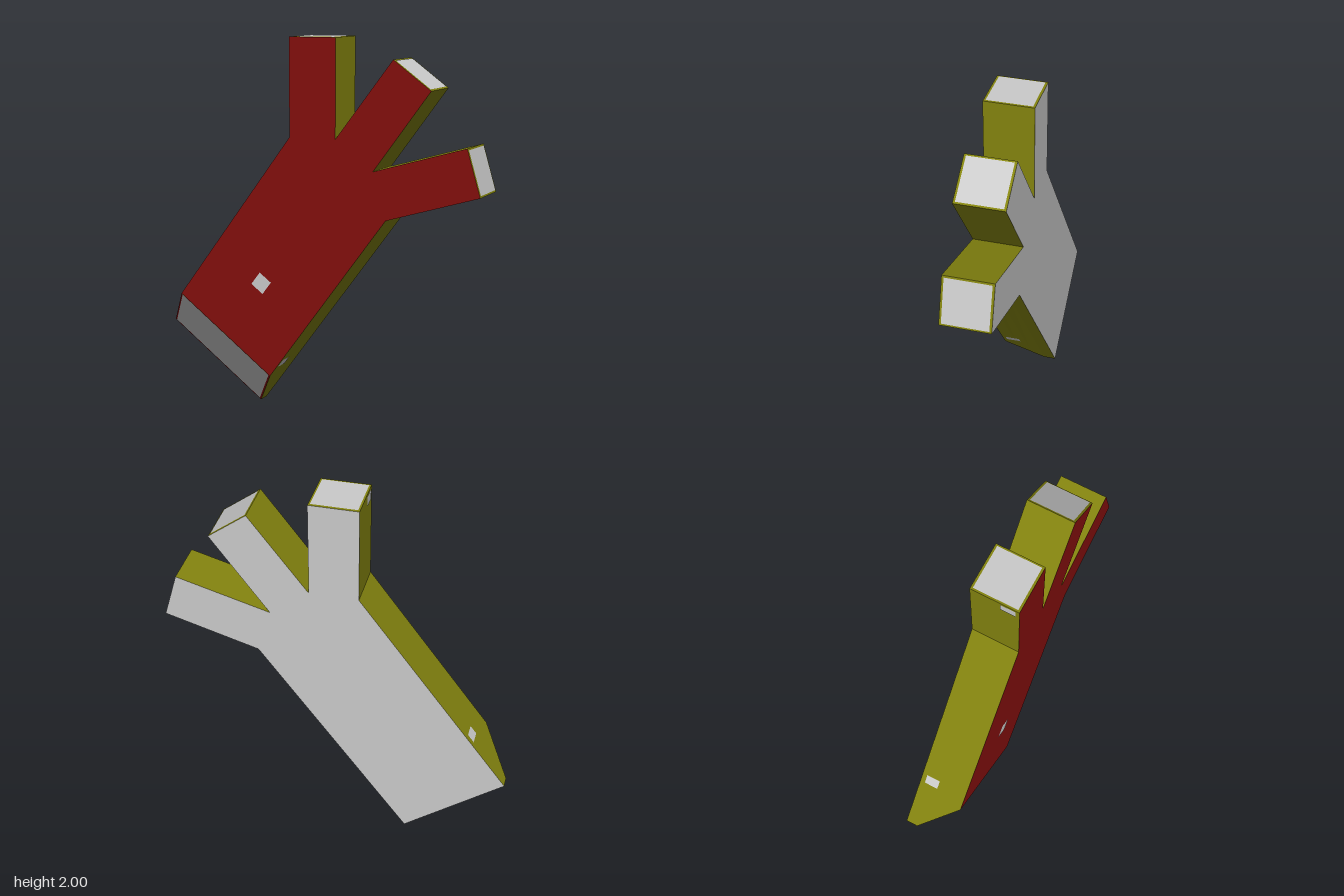
import * as THREE from 'three';

const GREY = 0xcccccc, RED = 0x850f0d, OLIVE = 0x84840f;
const HALF = 0.13;          // half thickness of the slab
const CHAMFER_Z = -0.065;   // depth at which the base chamfer starts
const CHAMFER = new THREE.Vector3(0.15, 0.2, HALF - CHAMFER_Z);

// Outline, counter-clockwise: base, then the three prongs
const OUTLINE = [
  [-0.918, 0.405], [-0.385, 0],
  [0.42, 1.083], [0.918, 1.228], [0.847, 1.47], [0.35, 1.33],
  [0.657, 1.745], [0.455, 1.895], [0.143, 1.485],
  [0.143, 2], [-0.115, 2], [-0.115, 1.485],
].map(([x, y]) => new THREE.Vector2(x, y));

const paint = (color) => new THREE.MeshStandardMaterial({ color, flatShading: true });

// Flat rectangle, u along its width and n outward, lifted slightly off the surface
function patch(name, color, centre, u, n, width, height, lift = 0.002) {
  const v = new THREE.Vector3().crossVectors(n, u);
  const mesh = new THREE.Mesh(new THREE.PlaneGeometry(width, height), paint(color));
  mesh.name = name;
  mesh.geometry.applyMatrix4(new THREE.Matrix4().makeBasis(u, v, n)
    .setPosition(centre.clone().addScaledVector(n, lift)));
  return mesh;
}

// Rectangle on the side wall that starts at outline point i; t is the place along it
function wallPatch(name, i, t, z, width, height) {
  const a = OUTLINE[i], b = OUTLINE[(i + 1) % OUTLINE.length];
  const u = new THREE.Vector3(b.x - a.x, b.y - a.y, 0);
  const centre = new THREE.Vector3(a.x, a.y, z).addScaledVector(u, t);
  const length = u.length();
  u.normalize();
  return patch(name, GREY, centre, u, new THREE.Vector3(u.y, -u.x, 0), width ?? length - 0.02, height);
}

function createBody() {
  const geo = new THREE.ExtrudeGeometry(new THREE.Shape(OUTLINE),
    { depth: 2 * HALF, steps: 4, bevelEnabled: false });
  geo.translate(0, 0, -HALF);

  // Slide the base edge up the slab towards the front to form the chamfer
  const p = geo.attributes.position;
  for (let i = 0; i < p.count; i++) {
    const x = p.getX(i), y = p.getY(i);
    const k = Math.max(0, (p.getZ(i) - CHAMFER_Z) / CHAMFER.z);
    if (y < 0.5) p.setXY(i, x + k * CHAMFER.x, y + k * CHAMFER.y);
  }
  geo.computeVertexNormals();

  // Back lid, front lid and walls each get their own colour
  const lid = geo.groups[0].count / 2;
  geo.clearGroups();
  geo.addGroup(0, lid, 0);
  geo.addGroup(lid, lid, 1);
  geo.addGroup(2 * lid, p.count - 2 * lid, 2);
  const body = new THREE.Mesh(geo, [paint(GREY), paint(RED), paint(OLIVE)]);
  body.name = 'body';
  return body;
}

export function createModel() {
  const model = new THREE.Group();
  model.name = 'prongedSlab';
  model.add(createBody());

  // Sloping chamfer face: red border with a grey panel
  const a = new THREE.Vector3(OUTLINE[0].x, OUTLINE[0].y, CHAMFER_Z);
  const b = new THREE.Vector3(OUTLINE[1].x, OUTLINE[1].y, CHAMFER_Z);
  const u = b.clone().sub(a);
  const width = u.length(), height = CHAMFER.length();
  u.normalize();
  const n = new THREE.Vector3().crossVectors(u, CHAMFER).normalize();
  const middle = a.clone().add(b).multiplyScalar(0.5).addScaledVector(CHAMFER, 0.5);
  model.add(patch('chamferFace', RED, middle, u, n, width, height, 0.001));
  model.add(patch('chamferPanel', GREY, middle.clone().addScaledVector(CHAMFER, 0.015),
    u, n, width - 0.02, height * 0.97));

  // Grey panels on the prong tips
  for (const [name, i] of [['lowerTip', 3], ['middleTip', 6], ['upperTip', 9]]) {
    model.add(wallPatch(name, i, 0.5, 0, undefined, 0.236));
  }

  // Small square marks on the walls and front
  model.add(wallPatch('lowerEdgeMark', 1, 0.25, 0.07, 0.05, 0.08));
  model.add(wallPatch('lowerProngMark', 2, 0.9, 0.07, 0.05, 0.08));
  model.add(wallPatch('upperProngMark', 10, 0.075, 0.07, 0.055, 0.08));
  model.add(wallPatch('upperEdgeMark', 11, 0.75, -0.065, 0.055, 0.075));
  model.add(patch('frontMark', GREY, new THREE.Vector3(-0.283, 0.702, HALF), u,
    new THREE.Vector3(0, 0, 1), 0.082, 0.082));
  return model;
}
